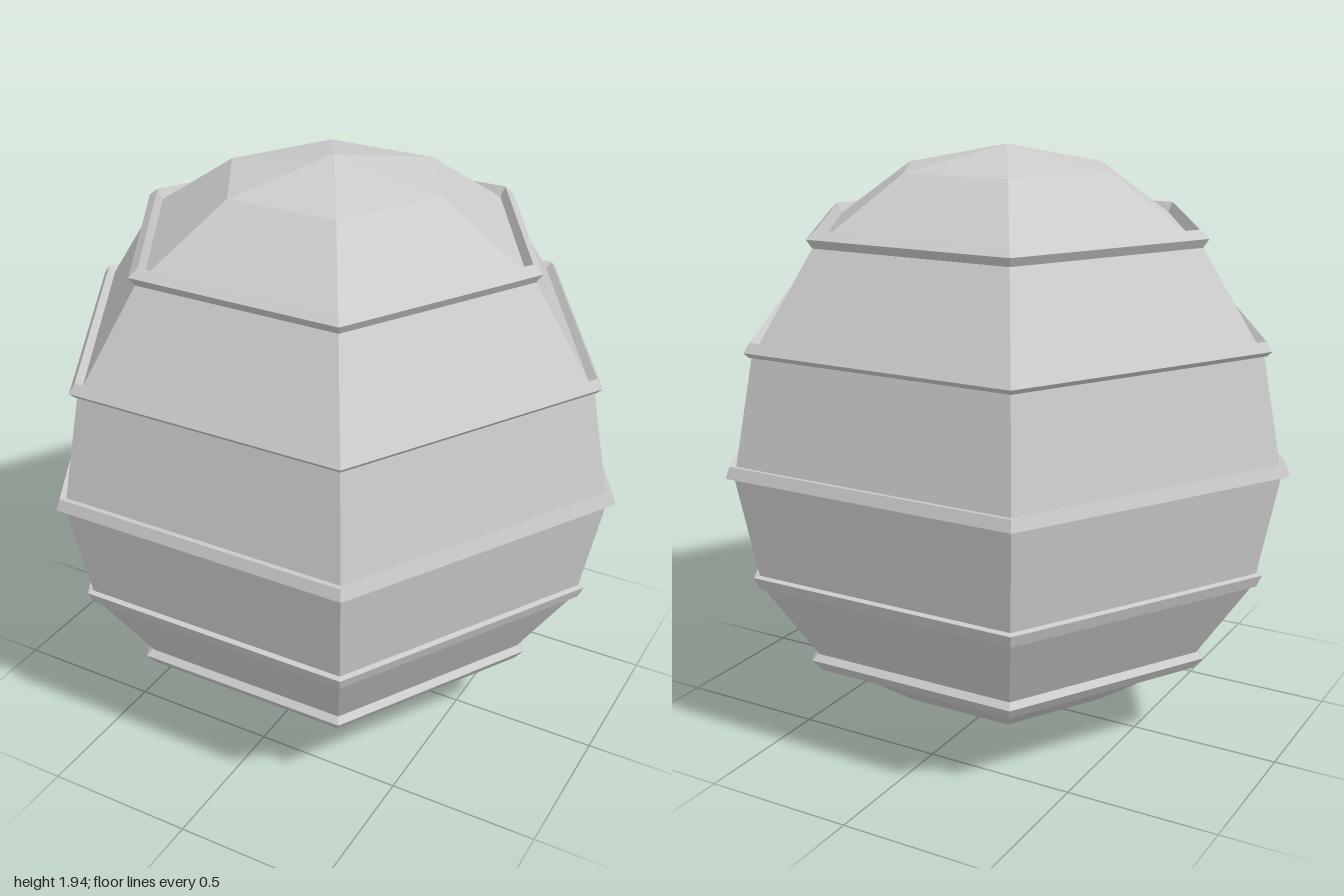
import * as THREE from 'three';

const SIDES = 6;
const RADIUS = 0.97;
const CENTRE_Y = 0.975;

export function createModel() {
  const model = new THREE.Group();
  model.name = 'bandedHexagonalOrb';
  const material = new THREE.MeshStandardMaterial({ color: 0xcccccc, flatShading: true });

  // Six-sided turned part with corners on the x axis; profile is [radius, y], bottom to top
  function addTurned(name, profile) {
    const points = profile.map(([r, y]) => new THREE.Vector2(r, y));
    const mesh = new THREE.Mesh(new THREE.LatheGeometry(points, SIDES, Math.PI / 2), material);
    mesh.name = name;
    model.add(mesh);
  }

  // Faceted body: eight rows from pole to pole
  const body = [];
  for (let i = 0; i <= 8; i++) {
    const a = (i / 8) * Math.PI;
    body.push([i % 8 ? RADIUS * Math.sin(a) : 0, CENTRE_Y - RADIUS * Math.cos(a)]);
  }
  addTurned('body', body);

  // Raised bands, one at each of the five middle rows
  const bands = {
    lowestBand: [[0.68, 0.283], [0.706, 0.273], [0.738, 0.313], [0.718, 0.333], [0.7, 0.32]],
    lowerBand: [[0.89, 0.604], [0.907, 0.6], [0.924, 0.64], [0.9, 0.645]],
    middleBand: [[0.965, 0.975], [0.972, 0.975], [0.998, 0.98], [0.985, 1.016], [0.955, 1.012]],
    upperBand: [[0.892, 1.346], [0.904, 1.348], [0.921, 1.364], [0.9, 1.394], [0.876, 1.376]],
    highestBand: [[0.684, 1.66], [0.705, 1.69], [0.672, 1.716], [0.652, 1.68]],
  };
  for (const [name, profile] of Object.entries(bands)) addTurned(name, profile);

  return model;
}
